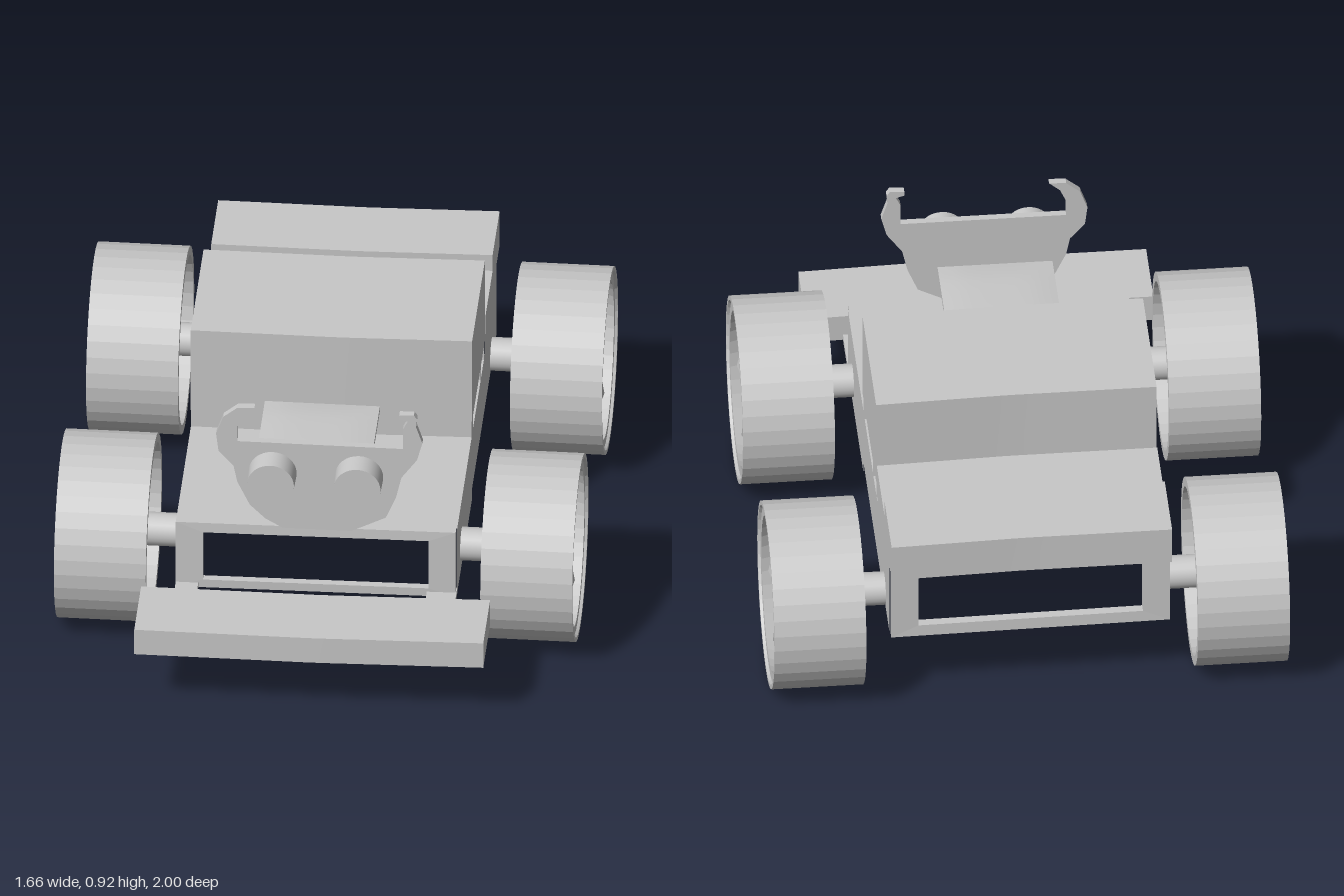
import * as THREE from 'three';

const grey = new THREE.MeshStandardMaterial({ color: 0xc8c8c8 });
grey.name = 'plain grey';

// All cross members sweep slightly backwards on the +x half
function sweep(geo) {
  const p = geo.attributes.position;
  for (let i = 0; i < p.count; i++) {
    const x = p.getX(i);
    if (x > 0.03) p.setZ(i, p.getZ(i) - 0.033 * (x - 0.03));
  }
  geo.computeVertexNormals();
  return geo;
}

export function createModel() {
  const model = new THREE.Group();
  model.name = 'buggy';

  function add(name, geo, parent = model) {
    const m = new THREE.Mesh(geo, grey);
    m.name = name;
    parent.add(m);
    return m;
  }
  function boxGeo(x0, x1, y0, y1, z0, z1) {
    const g = new THREE.BoxGeometry(x1 - x0, y1 - y0, z1 - z0, 18, 1, 1);
    g.translate((x0 + x1) / 2, (y0 + y1) / 2, (z0 + z1) / 2);
    return sweep(g);
  }
  const box = (name, ...b) => add(name, boxGeo(...b));

  // Open-ended outer skin: the side, top and bottom faces of a box
  function skin(name, ...b) {
    const g = boxGeo(...b);
    const end = g.groups[4].start;
    g.setIndex(Array.from(g.index.array.slice(0, end)));
    g.clearGroups();
    add(name, g);
  }
  // End frame with a wide opening
  function frame(name, y0, y1, h0, h1, z, depth) {
    const rect = (C, x, a, c) => {
      const s = new C();
      s.moveTo(-x, a); s.lineTo(x, a); s.lineTo(x, c); s.lineTo(-x, c); s.closePath();
      return s;
    };
    const s = rect(THREE.Shape, 0.447, y0, y1);
    s.holes.push(rect(THREE.Path, 0.36, h0, h1));
    const g = new THREE.ExtrudeGeometry(s, { depth, bevelEnabled: false });
    g.translate(0, 0, z);
    add(name, sweep(g));
  }

  // Chassis
  skin('frontChassis', -0.447, 0.45, 0.22, 0.465, 0.035, 0.575);
  skin('middleChassis', -0.447, 0.45, 0.26, 0.465, -0.44, 0.035);
  skin('rearChassis', -0.447, 0.45, 0.26, 0.54, -0.86, -0.44);
  frame('frontFrame', 0.22, 0.465, 0.25, 0.43, 0.575, 0.025);
  frame('rearFrame', 0.26, 0.54, 0.3, 0.5, -0.89, 0.03);

  // Bumper on two flat arms
  box('bumper', -0.545, 0.57, 0.217, 0.31, 0.748, 1.0);
  box('bumperArm', -0.447, -0.375, 0.217, 0.237, 0.57, 0.76);
  box('bumperArm', 0.355, 0.45, 0.217, 0.237, 0.57, 0.76);

  // Cabin on cross bars, and the load at the back
  box('cabin', -0.447, 0.452, 0.53, 0.835, -0.42, 0.05);
  box('cabinBar', -0.447, 0.45, 0.46, 0.535, -0.002, 0.044);
  box('cabinBar', -0.447, 0.45, 0.46, 0.535, -0.305, -0.288);
  box('cabinBar', -0.447, 0.45, 0.46, 0.535, -0.42, -0.405);
  box('rearDeck', -0.447, 0.452, 0.54, 0.61, -0.72, -0.443);
  box('rearBox', -0.447, 0.452, 0.54, 0.67, -0.958, -0.703);

  // Seat: a thin square cushion on a tapered stand
  const cushion = new THREE.BoxGeometry(0.368, 0.018, 0.372, 8, 1, 8);
  const cp = cushion.attributes.position;
  for (let i = 0; i < cp.count; i++) {
    if (cp.getY(i) > 0) {
      const u = cp.getX(i) / 0.184, v = cp.getZ(i) / 0.186;
      cp.setY(i, 0.009 + 0.01 * (1 - u ** 4) * (1 - v ** 4));
    }
  }
  cushion.computeVertexNormals();
  add('seatCushion', cushion).position.set(-0.017, 0.637, 0.337);
  const stand = new THREE.CylinderGeometry(0.14, 0.12, 0.17, 4, 1).toNonIndexed();
  stand.rotateY(Math.PI / 4);
  stand.computeVertexNormals();
  add('seatStand', stand).position.set(-0.017, 0.545, 0.34);

  // Horned face plate
  const head = new THREE.Shape([
    [-0.195, 0.915], [-0.25, 0.912], [-0.295, 0.875], [-0.318, 0.81], [-0.31, 0.745], [-0.262, 0.69],
    [-0.25, 0.63], [-0.21, 0.545], [-0.16, 0.495], [-0.105, 0.463], [0.115, 0.463], [0.225, 0.52],
    [0.258, 0.6], [0.275, 0.675], [0.325, 0.745], [0.342, 0.81], [0.322, 0.87], [0.325, 0.9],
    [0.315, 0.915], [0.268, 0.913], [0.268, 0.898], [0.295, 0.89], [0.28, 0.86], [0.28, 0.785],
    [-0.25, 0.785], [-0.25, 0.84], [-0.23, 0.885],
  ].map(([x, y]) => new THREE.Vector2(x, y)));
  const headGeo = new THREE.ExtrudeGeometry(head, { depth: 0.024, bevelEnabled: false });
  headGeo.translate(0, 0, 0.577);
  add('facePlate', headGeo);

  // Eyes
  for (const x of [-0.137, 0.14]) {
    const eye = new THREE.CylinderGeometry(0.075, 0.077, 0.08, 32);
    eye.rotateX(Math.PI / 2);
    add('eye', eye).position.set(x, 0.673, 0.638);
  }

  // Wheel parts, axis along x, outer side towards +x
  const tyre = new THREE.LatheGeometry(
    [[0.272, -0.147], [0.302, -0.147], [0.302, 0.147], [0.288, 0.147], [0.284, 0.138], [0.253, 0.138], [0.268, 0.1], [0.272, -0.147]]
      .map(([r, y]) => new THREE.Vector2(r, y)), 36).toNonIndexed();
  tyre.computeVertexNormals();
  tyre.rotateZ(-Math.PI / 2);
  const hub = new THREE.CylinderGeometry(0.136, 0.136, 0.1, 32);
  hub.rotateZ(-Math.PI / 2);
  hub.translate(0.06, 0, 0);
  const axle = new THREE.CylinderGeometry(0.054, 0.054, 0.25, 24);
  axle.rotateZ(-Math.PI / 2);

  // Broad blade, widening towards the rim and turned about its length
  const blade = new THREE.BoxGeometry(0.09, 0.15, 0.08);
  const bp = blade.attributes.position;
  for (let i = 0; i < bp.count; i++) bp.setZ(i, bp.getZ(i) * (1 + 3 * bp.getY(i)));
  blade.rotateY(0.3);
  blade.translate(0.06, 0.193, 0);
  blade.computeVertexNormals();
  const SPOKES = 7;

  for (const side of [1, -1]) {
    for (const z of [0.39, -0.698]) {
      const wheel = new THREE.Group();
      wheel.name = z > 0 ? 'frontWheel' : 'rearWheel';
      wheel.position.set(side < 0 && z < 0 ? -0.674 : side * 0.682, 0.302, z);
      if (side < 0) wheel.rotation.y = Math.PI;
      add('tyre', tyre, wheel);
      add('hub', hub, wheel);
      for (let i = 0; i < SPOKES; i++) {
        add('spoke', blade, wheel).rotation.x = (i / SPOKES) * Math.PI * 2;
      }
      model.add(wheel);
      add('axle', axle).position.set(side * 0.572, 0.305, z > 0 ? 0.403 : -0.7);
    }
  }
  return model;
}
